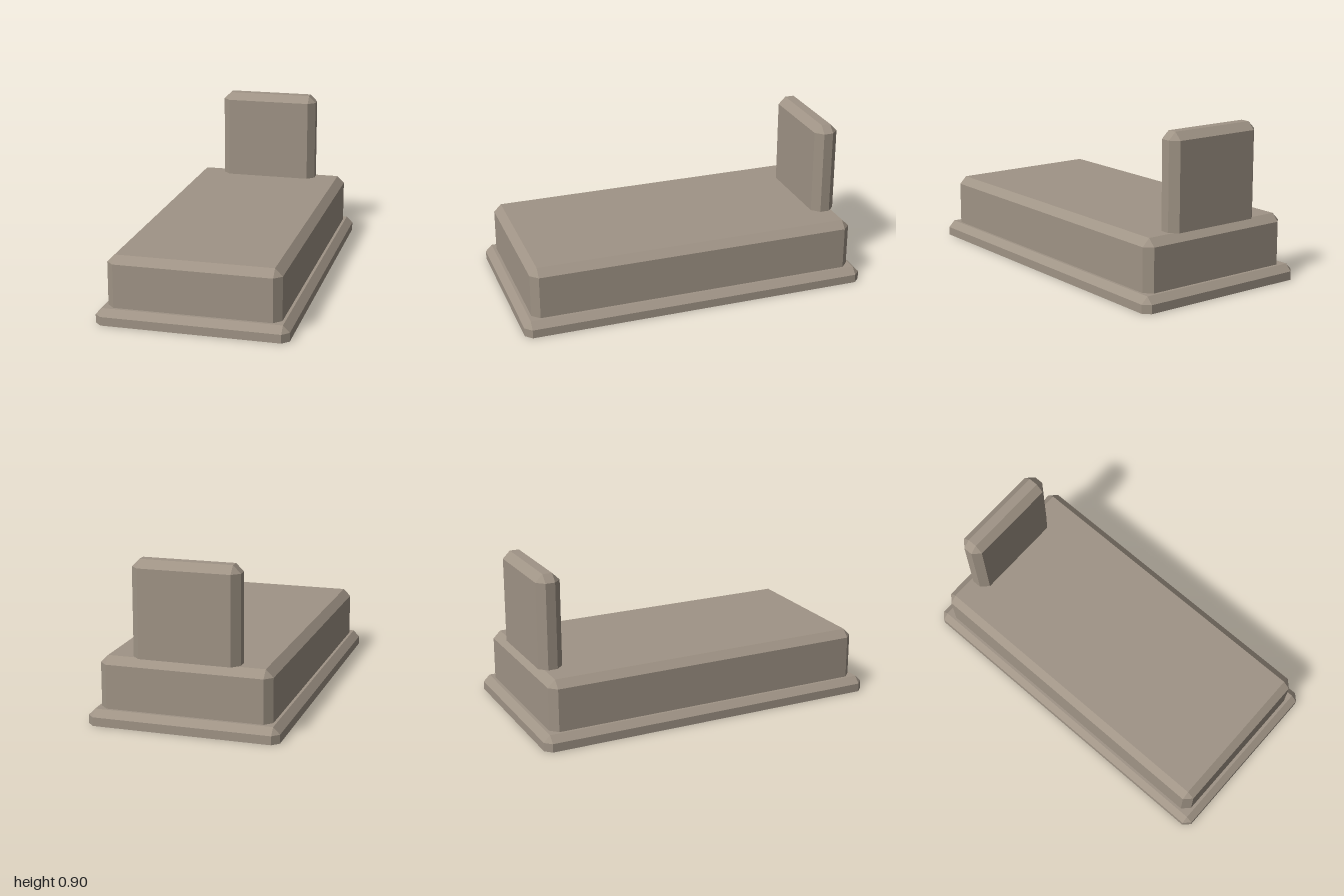
import * as THREE from 'three';

// Flat-shaded block with chamfered upright corners and top edges, built from three rings
function chamferedBlock(w, d, y0, y1, c) {
  const wi = w - c, di = d - c;
  const outline = [[w, di], [w, -di], [wi, -d], [-wi, -d], [-w, -di], [-w, di], [-wi, d], [wi, d]];
  const lower = outline.map(([x, z]) => [x, y0, z]);
  const upper = outline.map(([x, z]) => [x, y1 - c, z]);
  // The eight outline points meet in pairs at the four top corners
  const top = outline.map(([x, z]) => [Math.sign(x) * wi, y1, Math.sign(z) * di]);
  const positions = [];
  const same = (p, q) => p.every((v, i) => v === q[i]);
  const tri = (a, b, c3) => {
    if (!same(a, b) && !same(b, c3) && !same(a, c3)) positions.push(...a, ...b, ...c3);
  };
  for (const [r, s] of [[lower, upper], [upper, top]]) {
    for (let i = 0; i < 8; i++) {
      const j = (i + 1) % 8;
      tri(r[i], r[j], s[j]);
      tri(r[i], s[j], s[i]);
    }
  }
  for (let i = 1; i < 7; i++) {
    tri(top[0], top[i], top[i + 1]);
    tri(lower[0], lower[i + 1], lower[i]);
  }
  const geometry = new THREE.BufferGeometry();
  geometry.setAttribute('position', new THREE.Float32BufferAttribute(positions, 3));
  geometry.computeVertexNormals();
  return geometry;
}

export function createModel() {
  const group = new THREE.Group();
  group.name = 'grave';
  const stone = new THREE.MeshStandardMaterial({ color: 0xa09486 });
  stone.name = 'warm grey stone';

  const add = (name, geometry, z = 0) => {
    const mesh = new THREE.Mesh(geometry, stone);
    mesh.name = name;
    mesh.position.z = z;
    group.add(mesh);
  };

  // Low plinth, main slab and upright stone at the back
  add('plinth', chamferedBlock(0.527, 1, 0, 0.085, 0.037));
  add('slab', chamferedBlock(0.475, 0.946, 0.085, 0.37, 0.042));
  add('headstone', chamferedBlock(0.295, 0.069, 0.37, 0.897, 0.042), -0.86);
  return group;
}
